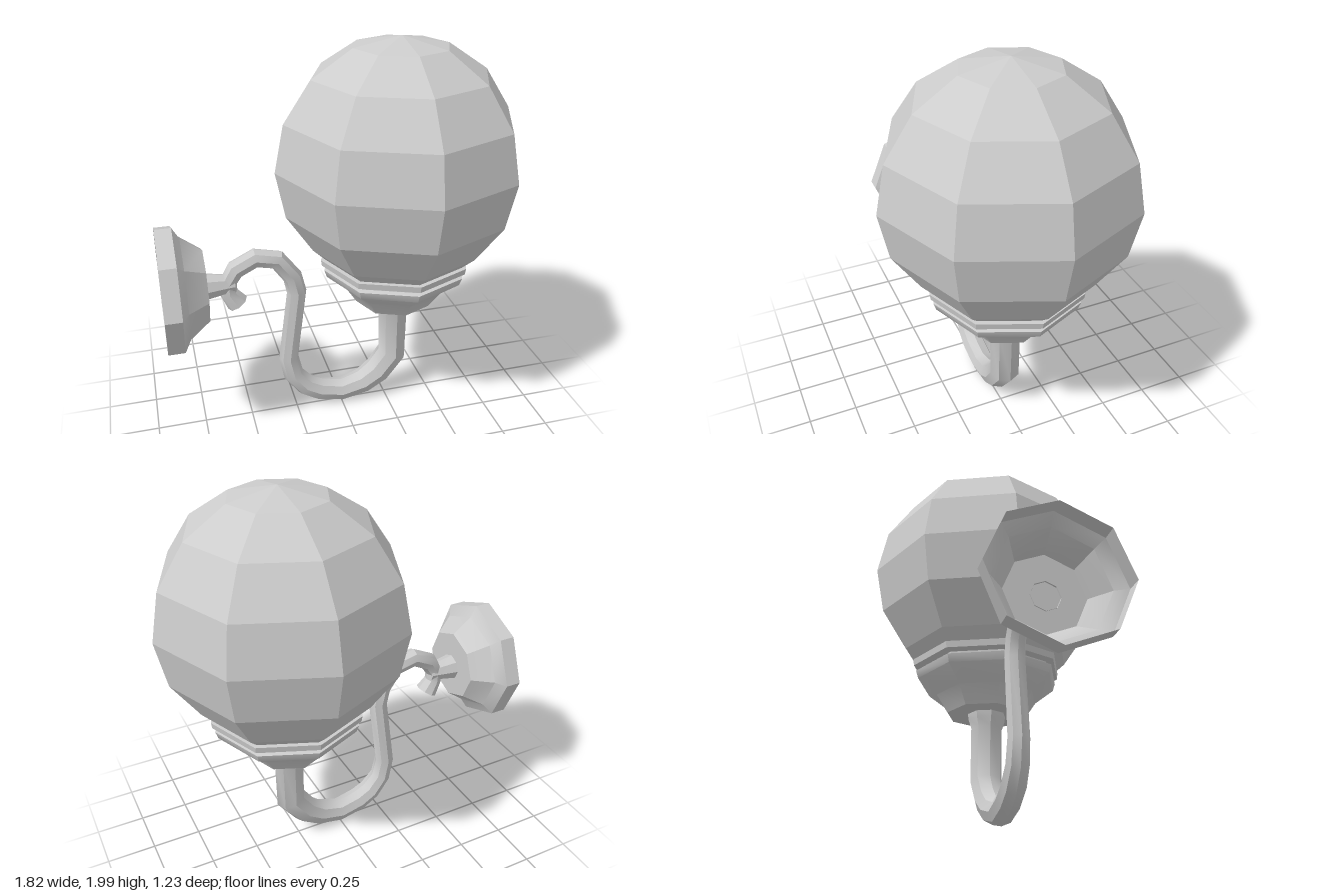
import * as THREE from 'three';
import { toCreasedNormals } from 'three/addons/utils/BufferGeometryUtils.js';

const SIDES = 8;
const LAMP_X = 0.29;
const flat = new THREE.MeshStandardMaterial({ color: 0xcccccc, flatShading: true });
const metal = new THREE.MeshStandardMaterial({ color: 0xcccccc, side: THREE.DoubleSide });

// Eight-sided turned part from [radius, height] pairs, bottom to top
function turned(name, profile, material) {
  const points = profile.map(([r, y]) => new THREE.Vector2(r, y));
  const geometry = toCreasedNormals(new THREE.LatheGeometry(points, SIDES), 0.6);
  const mesh = new THREE.Mesh(geometry, material);
  mesh.name = name;
  return mesh;
}

// Tapering eight-sided sweep along a path of [x, y, radius] in the z = 0 plane
function sweep(name, path) {
  const pts = path.map(([x, y]) => new THREE.Vector2(x, y));
  const direction = (i) => (i < 0 || i >= pts.length - 1
    ? new THREE.Vector2()
    : pts[i + 1].clone().sub(pts[i]).normalize());
  const positions = [];
  const index = [];
  path.forEach(([x, y, r], i) => {
    const t = direction(i - 1).add(direction(i)).normalize();
    for (let j = 0; j < SIDES; j++) {
      const a = (j / SIDES) * Math.PI * 2;
      const c = Math.cos(a) * r;
      positions.push(x - t.y * c, y + t.x * c, Math.sin(a) * r);
      if (i === path.length - 1) continue;
      const p = i * SIDES + j;
      const q = i * SIDES + ((j + 1) % SIDES);
      index.push(p, q, p + SIDES, q, q + SIDES, p + SIDES);
    }
  });
  const geometry = new THREE.BufferGeometry();
  geometry.setAttribute('position', new THREE.Float32BufferAttribute(positions, 3));
  geometry.setIndex(index);
  const mesh = new THREE.Mesh(toCreasedNormals(geometry, 0.6), metal);
  mesh.name = name;
  return mesh;
}

export function createModel() {
  const group = new THREE.Group();
  group.name = 'wallLamp';

  // Faceted globe, cut off where it sits in the cup
  const R = 0.615;
  const globeProfile = [[0.36, 0.88]];
  for (let i = 2; i <= 8; i++) {
    const a = (i / 8) * Math.PI;
    globeProfile.push([R * Math.sin(a), 1.385 - R * Math.cos(a)]);
  }
  const globe = turned('globe', globeProfile, flat);
  globe.position.x = LAMP_X;

  // Cup with a grooved rim below the globe
  const cup = turned('cup', [
    [0, 0.62], [0.205, 0.62], [0.265, 0.71], [0.365, 0.79], [0.378, 0.83],
    [0.35, 0.835], [0.35, 0.85], [0.39, 0.858], [0.395, 0.89], [0.3, 0.89],
  ], metal);
  cup.position.x = LAMP_X;

  // S-shaped arm, thinning from the cup to the hooked end
  const arm = sweep('arm', [
    [0.29, 0.63, 0.1], [0.29, 0.59, 0.095], [0.29, 0.545, 0.08], [0.29, 0.27, 0.08],
    [0.21, 0.16, 0.075], [0.125, 0.1, 0.068], [0, 0.067, 0.062],
    [-0.125, 0.096, 0.062], [-0.2, 0.138, 0.06], [-0.265, 0.22, 0.055],
    [-0.288, 0.335, 0.052], [-0.235, 0.73, 0.051], [-0.255, 0.82, 0.05],
    [-0.33, 0.925, 0.05], [-0.44, 0.95, 0.05], [-0.54, 0.9, 0.05],
    [-0.582, 0.83, 0.045], [-0.58, 0.775, 0.045],
    [-0.54, 0.71, 0.057], [-0.54, 0.71, 0],
  ]);

  // Wall plate, hollow at the back, and the stem that joins it to the arm
  const plate = turned('wallPlate', [
    [0.325, -0.91], [0.325, -0.828], [0.265, -0.795], [0.188, -0.693], [0, -0.693],
  ], metal);
  const stem = turned('stem', [[0.07, -0.7], [0.05, -0.59], [0.045, -0.55], [0, -0.55]], metal);
  plate.position.y = 0.838;
  stem.position.y = 0.825;
  for (const part of [plate, stem]) part.rotation.z = -Math.PI / 2;

  group.add(globe, cup, arm, plate, stem);
  return group;
}
